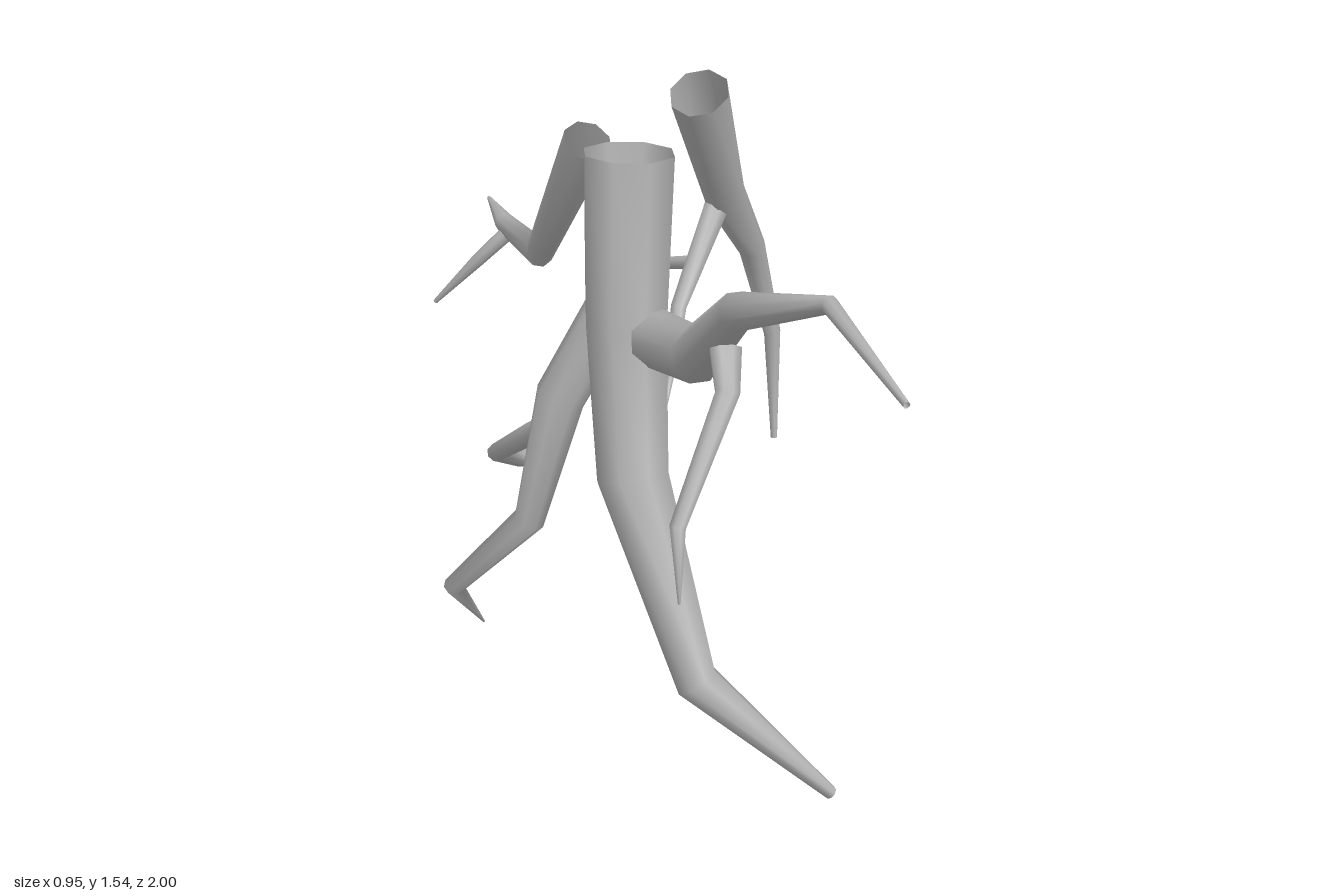
import * as THREE from 'three';

const SIDES = 8;

// Open tapered tube through points [x, y, z, radius]; depth widens it across its second axis.
function rootGeometry(points, depth = 1) {
  const path = points.map(([x, y, z]) => new THREE.Vector3(x, y, z));
  const dirs = path.slice(1).map((p, i) => p.clone().sub(path[i]).normalize());
  const positions = [];
  const index = [];
  const u = new THREE.Vector3(1, 0, 0);
  if (Math.abs(dirs[0].x) > 0.9) u.set(0, 0, 1);
  path.forEach((p, i) => {
    const before = dirs[Math.max(i - 1, 0)];
    const after = dirs[Math.min(i, dirs.length - 1)];
    const t = before.clone().add(after).normalize();
    // carry the frame along so the tube does not twist
    u.addScaledVector(t, -u.dot(t)).normalize();
    const v = new THREE.Vector3().crossVectors(t, u);
    const r = points[i][3];
    for (let k = 0; k < SIDES; k++) {
      const a = ((k + 0.5) / SIDES) * Math.PI * 2;
      const q = p.clone()
        .addScaledVector(u, Math.cos(a) * r)
        .addScaledVector(v, Math.sin(a) * r * depth);
      positions.push(q.x, q.y, q.z);
      if (i < path.length - 1) {
        const A = i * SIDES + k;
        const B = i * SIDES + ((k + 1) % SIDES);
        index.push(A, B, A + SIDES, B, B + SIDES, A + SIDES);
      }
    }
  });
  const geometry = new THREE.BufferGeometry();
  geometry.setAttribute('position', new THREE.Float32BufferAttribute(positions, 3));
  geometry.setIndex(index);
  geometry.computeVertexNormals();
  return geometry;
}

export function createModel() {
  const group = new THREE.Group();
  group.name = 'hangingRoots';
  const bark = new THREE.MeshStandardMaterial({ color: 0xb4b4b4, side: THREE.DoubleSide });
  bark.name = 'paleGreyRoot';

  const add = (name, points, depth) => {
    const mesh = new THREE.Mesh(rootGeometry(points, depth), bark);
    mesh.name = name;
    group.add(mesh);
  };

  // thick central root
  add('mainRoot', [
    [0, 1.475, -0.1, 0.106], [-0.01, 1.08, -0.04, 0.097], [0, 0.75, 0.06, 0.088],
    [0.135, 0.33, 0.28, 0.053], [0.46, 0.012, 0.305, 0.016],
  ], 1.22);

  // root reaching forward and its offshoot
  add('frontRoot', [
    [0.01, 1.07, -0.05, 0.07], [0.13, 1.125, 0.21, 0.062], [0.185, 1.35, 0.48, 0.042],
    [0.335, 1.455, 0.69, 0.019], [0.43, 1.4, 1, 0.007],
  ]);
  add('frontOffshoot', [
    [0.17, 1.24, 0.42, 0.035], [0.17, 1.17, 0.48, 0.027],
    [0.06, 0.95, 0.635, 0.018], [0.065, 0.77, 0.64, 0.003],
  ]);

  // lower root on the right side and its offshoot
  add('rightRoot', [
    [-0.03, 1.12, -0.1, 0.062], [-0.16, 0.87, -0.12, 0.06], [-0.24, 0.54, -0.12, 0.039],
    [-0.435, 0.295, -0.215, 0.026], [-0.37, 0.06, -0.41, 0.003],
  ]);
  add('rightOffshoot', [
    [-0.19, 0.78, -0.13, 0.032], [-0.23, 0.72, -0.22, 0.028], [-0.32, 0.6, -0.35, 0.023],
    [-0.26, 0.5, -0.49, 0.019], [-0.22, 0.515, -0.71, 0.005],
  ]);

  // separate root behind, on the right
  add('backRightRoot', [
    [-0.085, 1.435, -0.29, 0.058], [-0.2, 1.07, -0.51, 0.036],
    [-0.285, 1.065, -0.72, 0.026], [-0.33, 1.027, -1, 0.005],
  ]);
  add('backRightOffshoot', [
    [-0.27, 1.06, -0.69, 0.02], [-0.355, 0.98, -0.69, 0.017], [-0.475, 0.825, -0.78, 0.006],
  ]);

  // separate root behind, on the left, with a forked offshoot
  add('backLeftRoot', [
    [0.18, 1.505, -0.41, 0.073], [0.265, 1.18, -0.59, 0.053], [0.35, 0.99, -0.71, 0.036],
    [0.415, 0.73, -0.745, 0.023], [0.425, 0.435, -0.705, 0.009],
  ]);
  add('backLeftOffshoot', [
    [0.25, 1.17, -0.59, 0.034], [0.14, 0.95, -0.435, 0.021],
    [0.125, 0.83, -0.39, 0.013], [0.095, 0.71, -0.3, 0.003],
  ]);
  add('backLeftTwig', [
    [0.18, 1.04, -0.5, 0.019], [0.075, 0.99, -0.62, 0.014], [0.02, 0.87, -0.74, 0.004],
  ]);

  return group;
}
